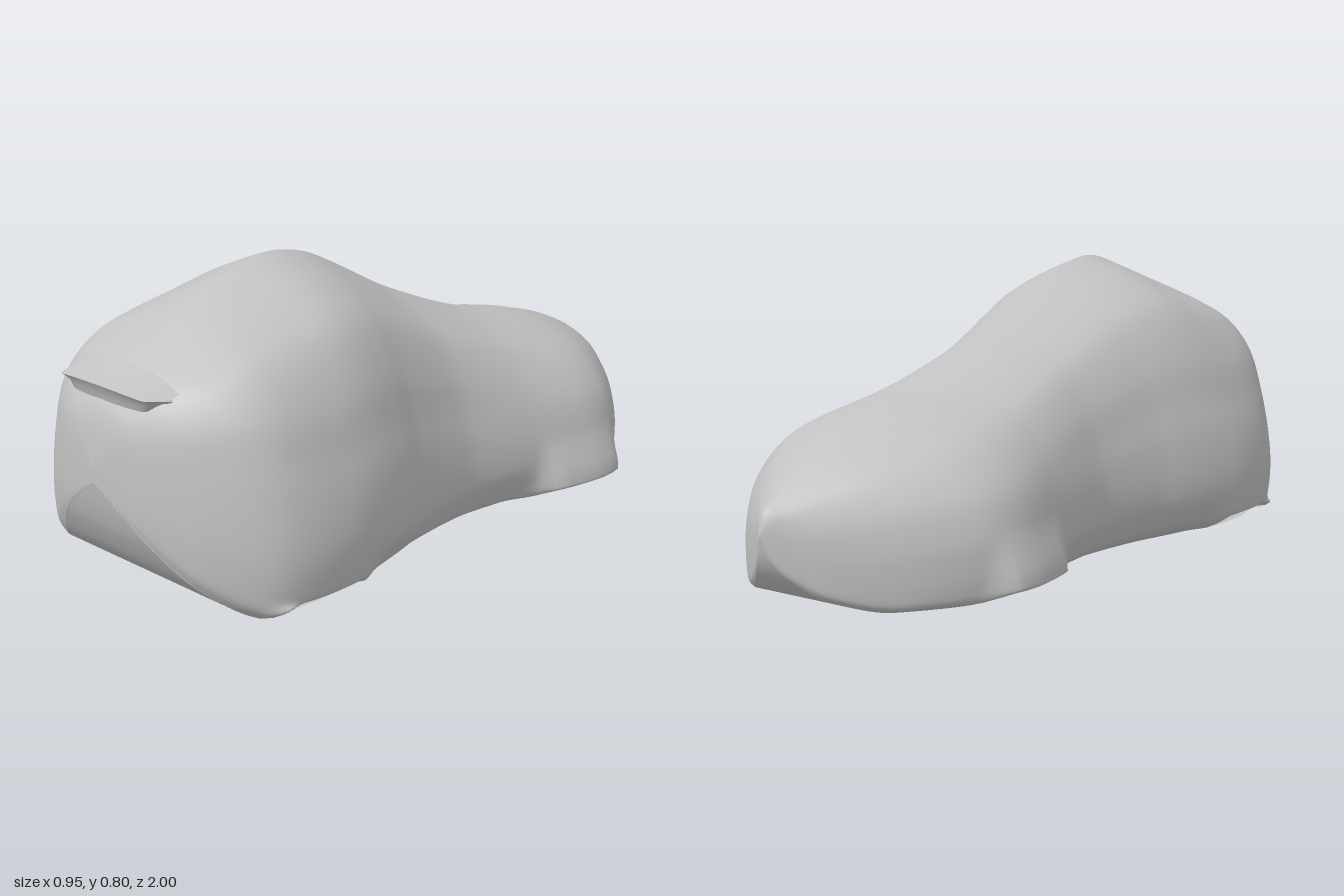
import * as THREE from 'three';

// z, half width, roof height, underside height
const STATIONS = [
  [-1, 0, .2, .2], [-.985, .025, .25, .14], [-.95, .075, .28, .085], [-.9, .14, .315, .04],
  [-.8, .25, .375, .002], [-.7, .34, .415, 0], [-.6, .405, .445, 0], [-.5, .425, .468, 0],
  [-.4, .415, .49, 0], [-.28, .39, .525, 0], [-.1, .365, .595, 0], [0, .36, .64, 0],
  [.2, .39, .745, 0], [.3, .42, .785, 0], [.42, .452, .8, 0], [.55, .473, .77, 0],
  [.7, .463, .71, 0], [.8, .42, .655, .008], [.9, .31, .595, .085], [.96, .2, .53, .18],
  [.985, .12, .47, .25], [1, 0, .36, .32],
];

// Half sections from ridge to floor edge, as fractions of width and height
const section = (pts) => new THREE.CatmullRomCurve3(pts.map(([x, y]) => new THREE.Vector3(x, y, 0)));
const TAIL = section([[0, 1], [.2, .98], [.45, .92], [.65, .84], [.8, .73], [.92, .59], [.99, .4], [1, .27], [.99, .13], [.96, .04], [.85, 0]]);
const CABIN = section([[0, 1], [.12, .975], [.42, .9], [.64, .81], [.82, .64], [.9, .5], [.965, .375], [1, .23], [.99, .12], [.96, .04], [.85, 0]]);
const NOSE = section([[0, 1], [.2, .985], [.45, .95], [.66, .89], [.82, .77], [.91, .6], [.97, .42], [1, .25], [.99, .12], [.96, .04], [.87, 0]]);

const smooth = THREE.MathUtils.smoothstep;

// Smooth interpolation of one station column
function sample(z, col) {
  const S = STATIONS, last = S.length - 1;
  let i = 0;
  while (i < last - 1 && z > S[i + 1][0]) i++;
  const slope = (k) => {
    const a = S[Math.max(k - 1, 0)], b = S[Math.min(k + 1, last)];
    return (b[col] - a[col]) / (b[0] - a[0]);
  };
  const h = S[i + 1][0] - S[i][0], t = (z - S[i][0]) / h, t2 = t * t, t3 = t2 * t;
  const v = (2 * t3 - 3 * t2 + 1) * S[i][col] + (t3 - 2 * t2 + t) * h * slope(i)
    + (3 * t2 - 2 * t3) * S[i + 1][col] + (t3 - t2) * h * slope(i + 1);
  return Math.max(v, 0);
}

// Wheel arch openings
const band = (z, a, b, e) => smooth(z, a, a + e) * (1 - smooth(z, b - e, b));
const rearArch = (z) => band(z, -.62, -.27, .06);
const frontArch = (z) => band(z, .47, .8, .05);

// Skin a grid of points
function loft(rows, flip) {
  const n = rows[0].length, idx = [];
  for (let i = 0; i < rows.length - 1; i++) {
    for (let j = 0; j < n - 1; j++) {
      const a = i * n + j, b = a + 1, c = a + n, d = c + 1;
      if (flip) idx.push(a, b, c, b, d, c);
      else idx.push(a, c, b, b, c, d);
    }
  }
  const g = new THREE.BufferGeometry();
  g.setAttribute('position', new THREE.Float32BufferAttribute(rows.flat(2), 3));
  g.setIndex(idx);
  g.computeVertexNormals();
  return g;
}

function sideRow(z, side) {
  const N = 44, row = [];
  const w = sample(z, 1), top = sample(z, 2), bot = sample(z, 3);
  const tail = 1 - smooth(z, -.6, .15), nose = smooth(z, .5, .88);
  const arch = Math.max(rearArch(z), frontArch(z));
  const tuck = band(z, -.3, .52, .12);
  for (let j = 0; j <= N; j++) {
    const p = CABIN.getPoint(j / N).lerp(TAIL.getPoint(j / N), tail).lerp(NOSE.getPoint(j / N), nose);
    let x = p.x * w, y = bot + p.y * (top - bot);
    const low = 1 - smooth(y, .02, .2), hem = 1 - smooth(y, 0, .06);
    x *= 1 - .07 * tuck * (1 - smooth(y, 0, .12));
    // Flared fender hems stand off the floor
    x += rearArch(z) * (.05 * low + .035 * hem * (1 - p.x) * 4 * w);
    x += frontArch(z) * .14 * hem * (1 - p.x) * 2 * w;
    x += .03 * band(z, .71, .81, .05) * hem;
    y += arch * .028 * hem;
    row.push([side * x, y, z]);
  }
  return row;
}

function floorRow(z, side) {
  const edge = sample(z, 1) * (.85 - .04 * rearArch(z) - .02 * frontArch(z));
  const tuck = 1 - .07 * band(z, -.3, .52, .12);
  return [1, .5, 0].map((k) => [side * k * edge * tuck, sample(z, 3), z]);
}

export function createModel() {
  const model = new THREE.Group();
  const grey = new THREE.MeshStandardMaterial({ color: 0xc2c2c2, side: THREE.DoubleSide });
  grey.name = 'body grey';
  const add = (name, geometry) => {
    const mesh = new THREE.Mesh(geometry, grey);
    mesh.name = name;
    model.add(mesh);
  };

  // Stations gather towards both ends
  const zs = Array.from({ length: 121 }, (_, i) => -Math.cos((Math.PI * i) / 120));
  for (const side of [1, -1]) {
    const name = side > 0 ? 'left' : 'right';
    add(name + 'BodyShell', loft(zs.map((z) => sideRow(z, side)), side < 0));
    add(name + 'Floor', loft(zs.map((z) => floorRow(z, side)), side < 0));
  }

  // Overhanging lip on the nose, fading into the shell at its ends
  const lip = [], under = [];
  for (let i = 0; i <= 24; i++) {
    const s = i / 12 - 1, x = .2 * s, q = s * s, fade = smooth(Math.abs(s), .8, 1);
    const edge = [x, .572 - .02 * q, .982 - .03 * q - .05 * fade];
    lip.push([[x, .615 - .045 * q, .86], [x, .59 - .03 * q, .92 - .02 * fade], edge]);
    under.push([edge, [x * .95, .54, .962 - .03 * q - .05 * fade], [x * .8, .5, .958 - .03 * q - .04 * fade]]);
  }
  add('noseLipTop', loft(lip, true));
  add('noseLipUnderside', loft(under, true));
  return model;
}
